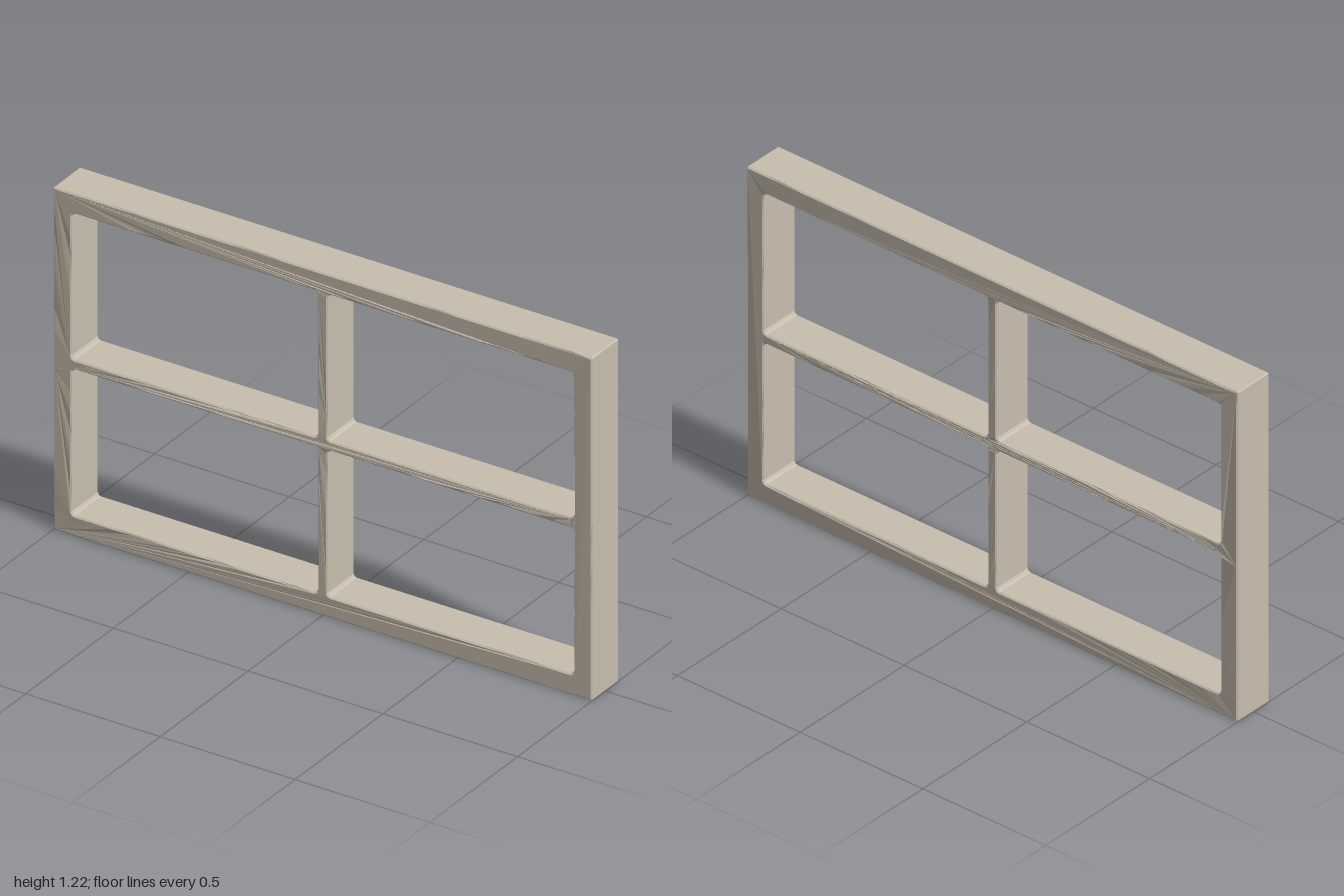
import * as THREE from 'three';

const WIDTH = 2, HEIGHT = 1.22, DEPTH = 0.156;
const BEVEL = 0.005;

// Points around a rectangle with softened corners and subdivided sides
function outline(x0, y0, x1, y1, r, step = 0.07) {
  const corners = [
    [x1 - r, y0 + r, -Math.PI / 2], [x1 - r, y1 - r, 0],
    [x0 + r, y1 - r, Math.PI / 2], [x0 + r, y0 + r, Math.PI],
  ];
  const pts = [];
  corners.forEach(([cx, cy, a], i) => {
    for (let k = 0; k <= 2; k++) {
      const t = a + (k * Math.PI) / 4;
      pts.push(new THREE.Vector2(cx + r * Math.cos(t), cy + r * Math.sin(t)));
    }
    const [nx, ny, na] = corners[(i + 1) % 4];
    const from = pts[pts.length - 1];
    const to = new THREE.Vector2(nx + r * Math.cos(na), ny + r * Math.sin(na));
    const n = Math.round(from.distanceTo(to) / step);
    for (let k = 1; k < n; k++) pts.push(from.clone().lerp(to, k / n));
  });
  return pts;
}

// Repeatable 0..1 value for a position, so coincident corners move together
function hash(x, y, z) {
  const s = Math.sin(Math.round(x * 1000) * 12.99 + Math.round(y * 1000) * 78.23 + Math.sign(z) * 37.7) * 43758.5;
  return s - Math.floor(s);
}

// Occasional shallow dents along the front and back edges
function wearEdges(geometry) {
  const p = geometry.attributes.position;
  for (let i = 0; i < p.count; i++) {
    const x = p.getX(i), y = p.getY(i), z = p.getZ(i);
    if (Math.abs(z) < DEPTH / 2 - 0.001) continue;
    const h = hash(x, y, z);
    if (h > 0.7) p.setZ(i, z - Math.sign(z) * (h - 0.7) * 0.012);
  }
  geometry.computeVertexNormals();
}

export function createModel() {
  const group = new THREE.Group();
  group.name = 'windowFrame';
  const paint = new THREE.MeshStandardMaterial({ color: 0xc9bfb0 });
  paint.name = 'weathered beige';

  // Outer rails and crossing glazing bars in one piece, with four open panes
  const shape = new THREE.Shape(outline(-WIDTH / 2, 0, WIDTH / 2, HEIGHT, 0.004));
  for (const [x0, x1] of [[-0.932, -0.018], [0.018, 0.932]]) {
    for (const [y0, y1] of [[0.073, 0.594], [0.628, 1.149]]) {
      shape.holes.push(new THREE.Path(outline(x0, y0, x1, y1, 0.012).reverse()));
    }
  }
  const geometry = new THREE.ExtrudeGeometry(shape, {
    depth: DEPTH - 2 * BEVEL,
    bevelEnabled: true, bevelThickness: BEVEL, bevelSize: BEVEL,
    bevelOffset: -BEVEL, bevelSegments: 1, curveSegments: 4,
  });
  geometry.translate(0, 0, -DEPTH / 2 + BEVEL);
  wearEdges(geometry);

  const frame = new THREE.Mesh(geometry, paint);
  frame.name = 'frameAndGlazingBars';
  group.add(frame);
  return group;
}
